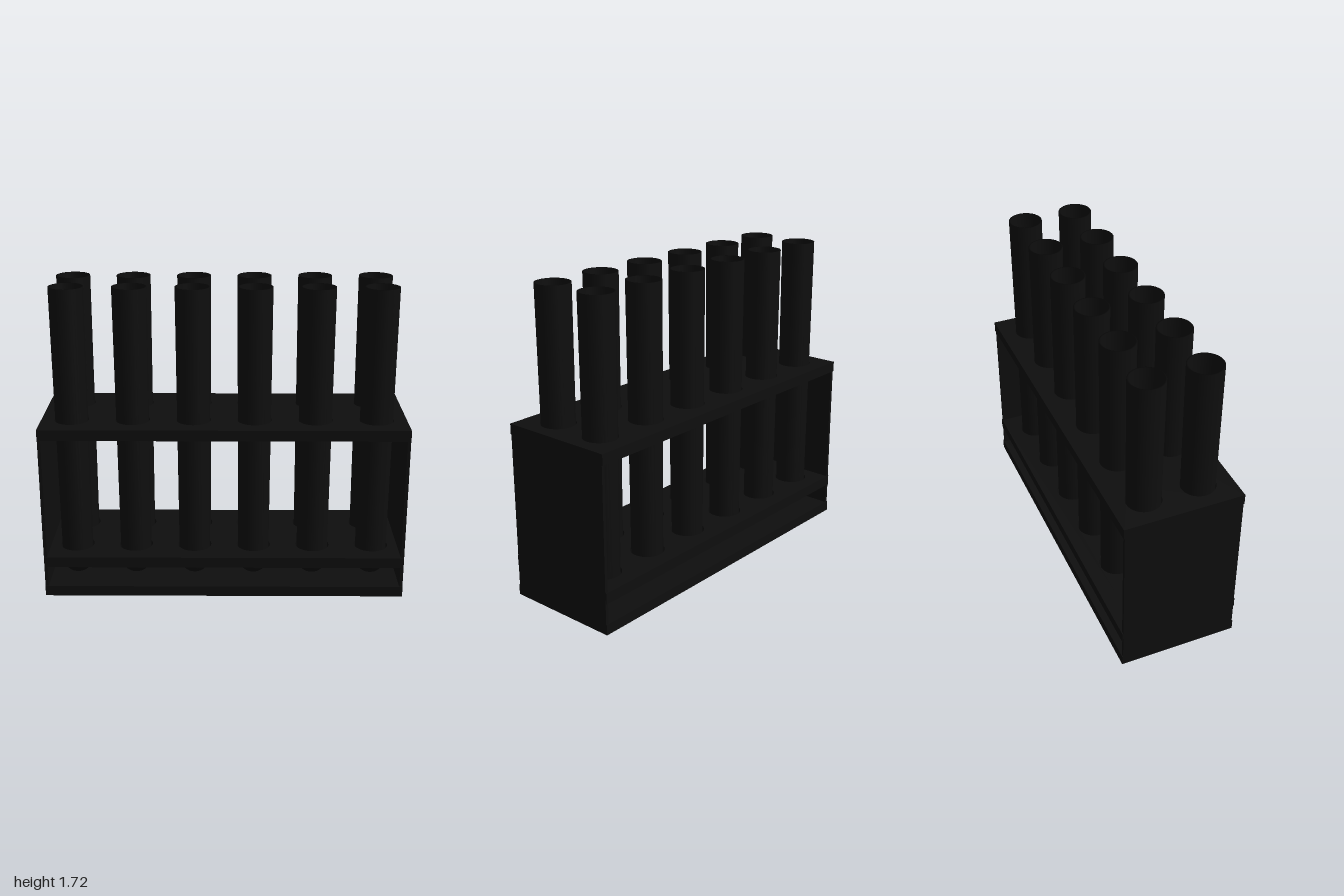
import * as THREE from 'three';

export function createModel() {
  const model = new THREE.Group();
  model.name = 'testTubeRack';
  // the whole rack stands very slightly turned
  model.rotation.y = -0.0115;

  const black = new THREE.MeshStandardMaterial({ color: 0x0e0e0e, side: THREE.DoubleSide });
  black.name = 'black';

  const columns = [-0.83, -0.498, -0.166, 0.166, 0.498, 0.83];
  const rows = [-0.152, 0.148];
  const halfWidth = 0.996, halfDepth = 0.329;

  const add = (name, geometry, x, y, z) => {
    const mesh = new THREE.Mesh(geometry, black);
    mesh.name = name;
    mesh.position.set(x, y, z);
    model.add(mesh);
    return mesh;
  };

  // base board and the two end walls
  add('base', new THREE.BoxGeometry(halfWidth * 2, 0.058, halfDepth * 2), 0, 0.029, 0);
  for (const side of [-1, 1]) {
    add(side > 0 ? 'leftWall' : 'rightWall',
      new THREE.BoxGeometry(0.018, 0.976, 0.648), side * (halfWidth - 0.009), 0.488, 0);
  }

  // shelf with a round hole for every tube
  const shelf = (name, y, width, holeRadius) => {
    const shape = new THREE.Shape();
    shape.moveTo(-width, -halfDepth);
    shape.lineTo(width, -halfDepth);
    shape.lineTo(width, halfDepth);
    shape.lineTo(-width, halfDepth);
    shape.closePath();
    for (const x of columns) for (const z of rows) {
      const hole = new THREE.Path();
      hole.absarc(x, -z, holeRadius, 0, Math.PI * 2, true);
      shape.holes.push(hole);
    }
    const geometry = new THREE.ExtrudeGeometry(shape, { depth: 0.06, bevelEnabled: false, curveSegments: 16 });
    geometry.rotateX(-Math.PI / 2);
    add(name, geometry, 0, y, 0);
  };
  shelf('topShelf', 0.92, halfWidth, 0.094);
  shelf('middleShelf', 0.175, halfWidth - 0.002, 0.094);

  // hollow tube: rounded bottom, slight taper, thin wall and flat rim
  const bottom = 0.07, top = 1.715, wall = 0.008, r = 0.086, steps = 8;
  const profile = [];
  for (let i = 0; i <= steps; i++) {
    const a = (i / steps) * Math.PI / 2;
    profile.push(new THREE.Vector2(r * Math.sin(a), bottom + r * (1 - Math.cos(a))));
  }
  profile.push(new THREE.Vector2(0.093, top), new THREE.Vector2(0.093 - wall, top));
  for (let i = steps; i >= 0; i--) {
    const a = (i / steps) * Math.PI / 2;
    profile.push(new THREE.Vector2((r - wall) * Math.sin(a), bottom + r - (r - wall) * Math.cos(a)));
  }
  const tubeGeometry = new THREE.LatheGeometry(profile, 32);
  for (const z of rows) for (const x of columns) add('testTube', tubeGeometry, x, 0, z);

  return model;
}
